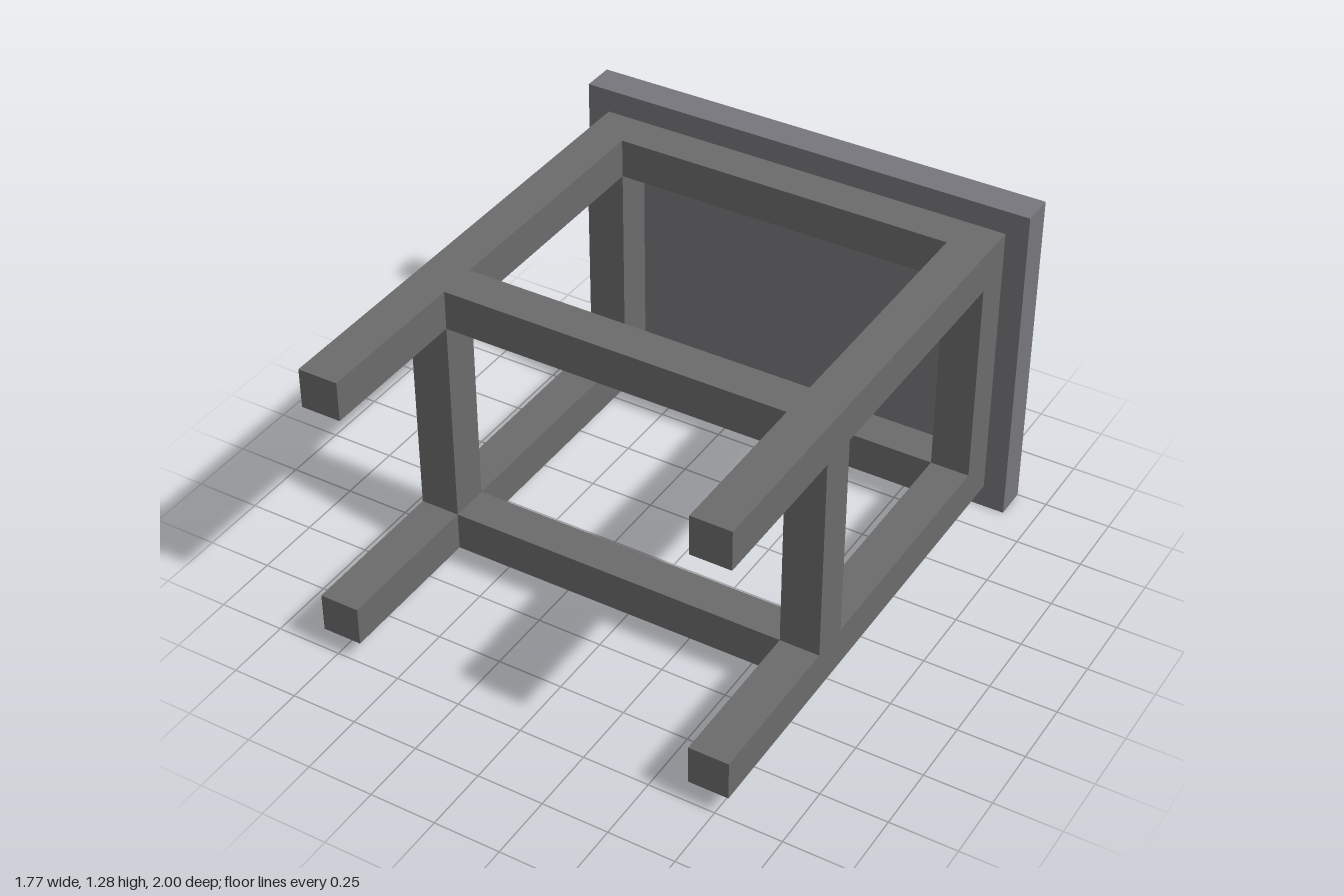
import * as THREE from 'three';

// A table lying on its side: the top stands at the back, the legs point forward.
export function createModel() {
  const group = new THREE.Group();
  const frameMat = new THREE.MeshStandardMaterial({ color: 0x6c6c6c });
  const topMat = new THREE.MeshStandardMaterial({ color: 0x77777d });

  const T = 0.15;                // thickness of every bar
  const X = 0.725;               // bar centre to the side
  const MID = 0.64, Y = 0.475;   // middle height, bar centre above and below it
  const BACK = -0.875;           // inner face of the table top

  function box(name, mat, w, h, d, x, y, z) {
    const mesh = new THREE.Mesh(new THREE.BoxGeometry(w, h, d), mat);
    mesh.name = name;
    mesh.position.set(x, y, z);
    group.add(mesh);
  }

  // Table top
  box('tableTop', topMat, 1.77, 1.28, 0.125, 0, MID, -0.9375);

  // Four legs
  for (const sx of [-1, 1])
    for (const sy of [-1, 1])
      box('leg', frameMat, T, T, 1 - BACK, sx * X, MID + sy * Y, (1 + BACK) / 2);

  // Apron under the top and stretchers further down the legs
  for (const [name, z] of [['apron', BACK + T / 2], ['stretcher', 0.325]]) {
    for (const s of [-1, 1]) {
      box(name + 'Long', frameMat, 2 * X - T, T, T, 0, MID + s * Y, z);
      box(name + 'Short', frameMat, T, 2 * Y - T, T, s * X, MID, z);
    }
  }
  return group;
}
